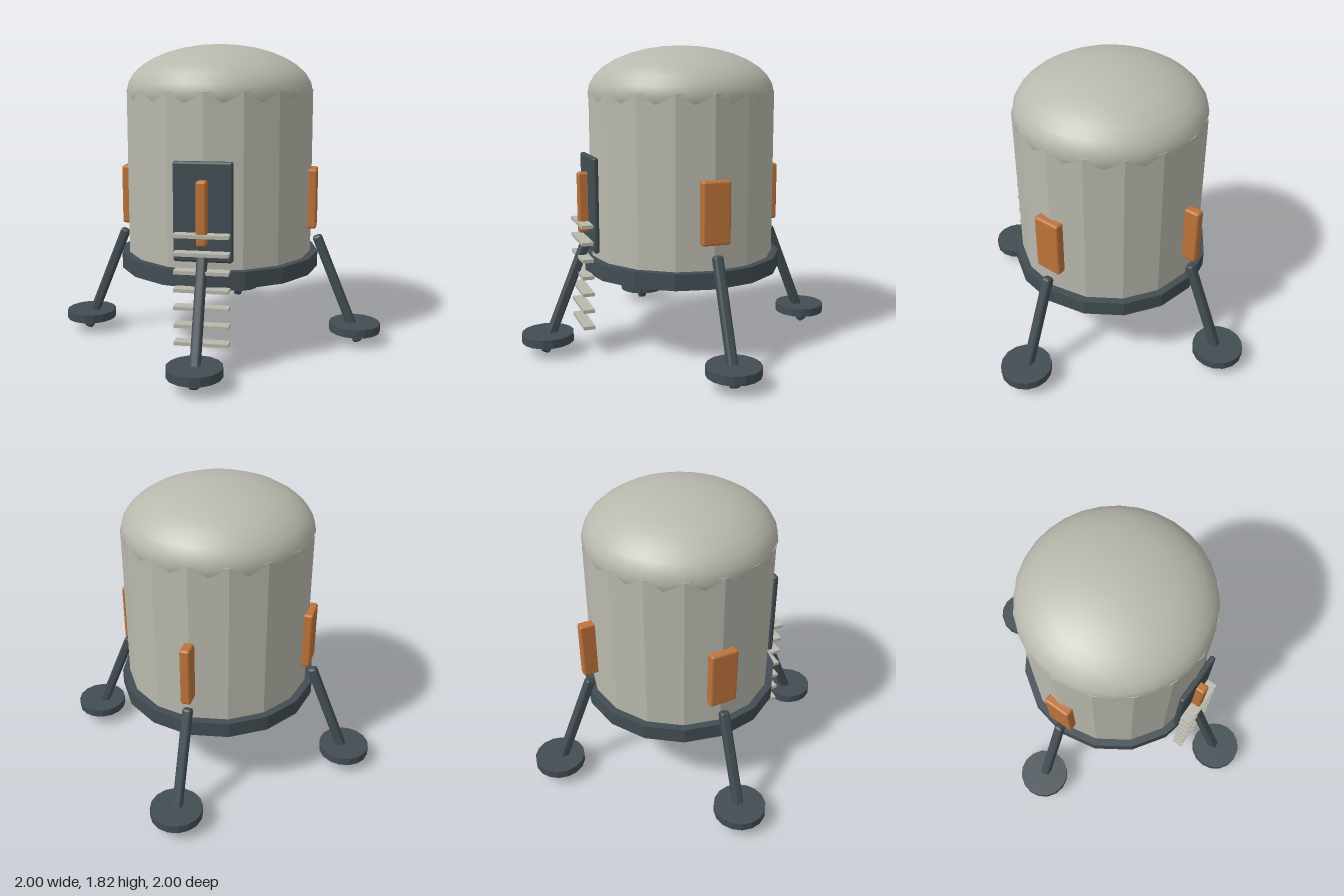
import * as THREE from 'three';
import { RoundedBoxGeometry } from 'three/addons/geometries/RoundedBoxGeometry.js';

export function createModel() {
  const model = new THREE.Group();
  model.name = 'landerCabin';

  const hull = new THREE.MeshStandardMaterial({ name: 'hullGrey', color: 0xb8b8ad });
  const dark = new THREE.MeshStandardMaterial({ name: 'darkSlate', color: 0x424d53 });
  const orange = new THREE.MeshStandardMaterial({ name: 'orange', color: 0xbd733a });

  const add = (name, geometry, material, x, y, z, parent = model) => {
    const mesh = new THREE.Mesh(geometry, material);
    mesh.name = name;
    mesh.position.set(x, y, z);
    parent.add(mesh);
    return mesh;
  };
  // Faceted upright cylinder with flat-shaded sides
  const drum = (radius, height, sides) => {
    const g = new THREE.CylinderGeometry(radius, radius, height, sides).toNonIndexed();
    g.computeVertexNormals();
    return g;
  };

  // Cabin: faceted wall, base ring and flattened dome
  add('cabinWall', drum(0.562, 1.06, 16), hull, 0, 1.03, 0);
  add('baseRing', drum(0.607, 0.095, 16), dark, 0, 0.532, 0);
  add('domeRoof', new THREE.SphereGeometry(0.56, 32, 16), hull, 0, 1.545, 0).scale.y = 0.5;

  // Door and ladder rungs on the front
  add('door', new RoundedBoxGeometry(0.335, 0.56, 0.035, 2, 0.015), dark, 0, 0.91, 0.573);
  const rung = new THREE.BoxGeometry(0.307, 0.02, 0.068);
  for (let i = 0; i < 7; i++) add('ladderRung', rung, hull, 0, 0.18 + i * 0.1015, 0.624);

  // Four side panels, all facing the same way
  const panel = new RoundedBoxGeometry(0.06, 0.36, 0.168, 2, 0.014);
  for (const [x, z] of [[1, 0], [-1, 0], [0, 1], [0, -1]]) {
    add('panel', panel, orange, x * 0.569, 0.91, z * 0.562);
  }

  // Four splayed legs with round foot pads
  const strut = new RoundedBoxGeometry(0.058, 0.715, 0.058, 2, 0.018);
  const pad = drum(0.155, 0.052, 16);
  for (let i = 0; i < 4; i++) {
    const leg = new THREE.Group();
    leg.name = 'leg';
    leg.rotation.y = i * Math.PI / 2;
    add('strut', strut, dark, 0.735, 0.344, 0, leg).rotation.z = 0.385;
    add('footPad', pad, dark, 0.845, 0.108, 0, leg);
    model.add(leg);
  }
  return model;
}
